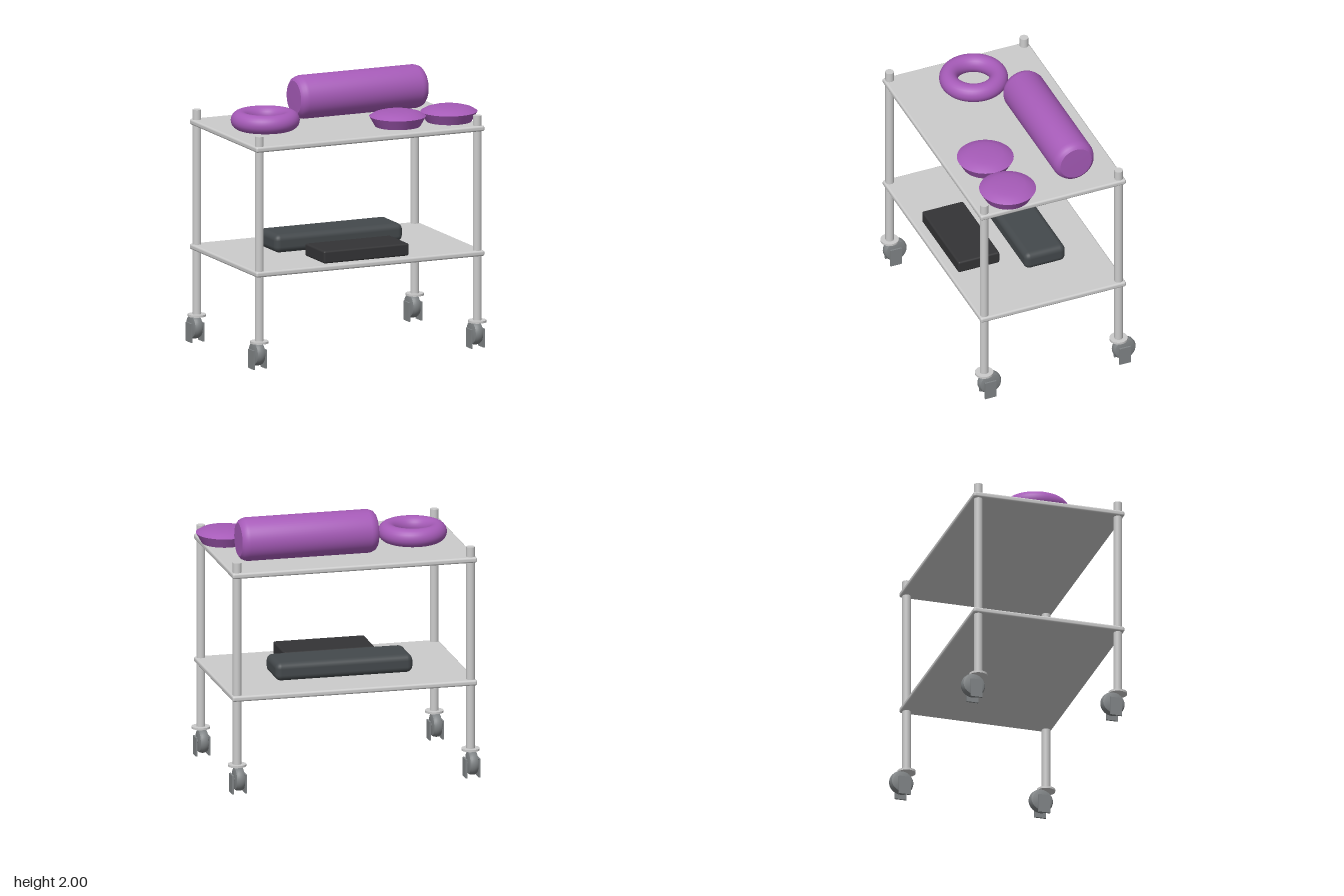
import * as THREE from 'three';
import { RoundedBoxGeometry } from 'three/addons/geometries/RoundedBoxGeometry.js';
import { toCreasedNormals } from 'three/addons/utils/BufferGeometryUtils.js';

const mat = (color) => new THREE.MeshStandardMaterial({ color });
const steel = mat(0xcccccc);
const casterGrey = mat(0x808486);
const purple = mat(0xa65bb8);
const charcoal = mat(0x44494c);
const black = mat(0x343436);

function add(parent, name, geometry, material, x = 0, y = 0, z = 0) {
  const mesh = new THREE.Mesh(geometry, material);
  mesh.name = name;
  mesh.position.set(x, y, z);
  parent.add(mesh);
  return mesh;
}

// Solid of revolution with sharp creases; profile runs from bottom to top
function turned(profile, segments = 48) {
  const points = profile.map(([r, y]) => new THREE.Vector2(r, y));
  return toCreasedNormals(new THREE.LatheGeometry(points, segments), 0.6);
}

// Swivel plate, wheel and the two side plates of its fork
function createCaster() {
  const caster = new THREE.Group();
  caster.name = 'caster';
  add(caster, 'swivelPlate', new THREE.CylinderGeometry(0.068, 0.068, 0.016, 32), steel, 0, 0.203, 0);
  const wheel = add(caster, 'wheel', turned([
    [0, -0.035], [0.065, -0.035], [0.081, -0.03], [0.089, -0.016], [0.091, 0],
    [0.089, 0.016], [0.081, 0.03], [0.065, 0.035], [0, 0.035],
  ], 36), casterGrey, 0, 0.11, -0.041);
  wheel.rotation.z = Math.PI / 2;
  const axle = add(caster, 'axle', new THREE.CylinderGeometry(0.015, 0.015, 0.1, 16), casterGrey, 0, 0.11, -0.041);
  axle.rotation.z = Math.PI / 2;
  for (const side of [-1, 1]) {
    add(caster, 'forkPlate', new THREE.BoxGeometry(0.013, 0.142, 0.09), casterGrey, side * 0.05, 0.071, -0.03);
  }
  return caster;
}

export function createModel() {
  const model = new THREE.Group();
  model.name = 'trolley';

  // Shelves
  for (const [name, y] of [['lowerShelf', 0.716], ['upperShelf', 1.655]]) {
    add(model, name, new RoundedBoxGeometry(1.862, 0.042, 1.165, 3, 0.015), steel, -0.014, y, 0.03);
  }

  // Posts and casters at the four corners
  for (const x of [-0.903, 0.873]) {
    for (const z of [-0.507, 0.57]) {
      add(model, 'post', new THREE.CylinderGeometry(0.032, 0.032, 1.55, 28), steel, x, 0.975, z);
      const caster = createCaster();
      caster.position.set(x, 0, z);
      model.add(caster);
    }
  }

  // Long roll on the upper shelf
  const roll = add(model, 'roll', turned([
    [0, -0.522], [0.125, -0.52], [0.147, -0.503], [0.157, -0.48], [0.162, -0.46],
    [0.162, 0.46], [0.157, 0.48], [0.147, 0.503], [0.125, 0.52], [0, 0.522],
  ], 56), purple, 0.265, 1.838, -0.205);
  roll.rotation.z = Math.PI / 2;

  // Ring cushion
  const ring = add(model, 'ring', new THREE.TorusGeometry(0.186, 0.069, 24, 56), purple, -0.598, 1.745, 0.027);
  ring.rotation.x = Math.PI / 2;

  // Two domed pads
  for (const x of [0.337, 0.755]) {
    add(model, 'domedPad', turned([
      [0, 0], [0.168, 0], [0.21, 0.075], [0.175, 0.096], [0.13, 0.109], [0.07, 0.115], [0, 0.117],
    ]), purple, x, 1.675, 0.332);
  }

  // Dark bolster and flat case on the lower shelf
  add(model, 'bolster', new RoundedBoxGeometry(1.044, 0.137, 0.326, 3, 0.045), charcoal, -0.015, 0.808, -0.083);
  add(model, 'flatCase', new RoundedBoxGeometry(0.693, 0.094, 0.331, 2, 0.014), black, -0.016, 0.783, 0.378);

  return model;
}
